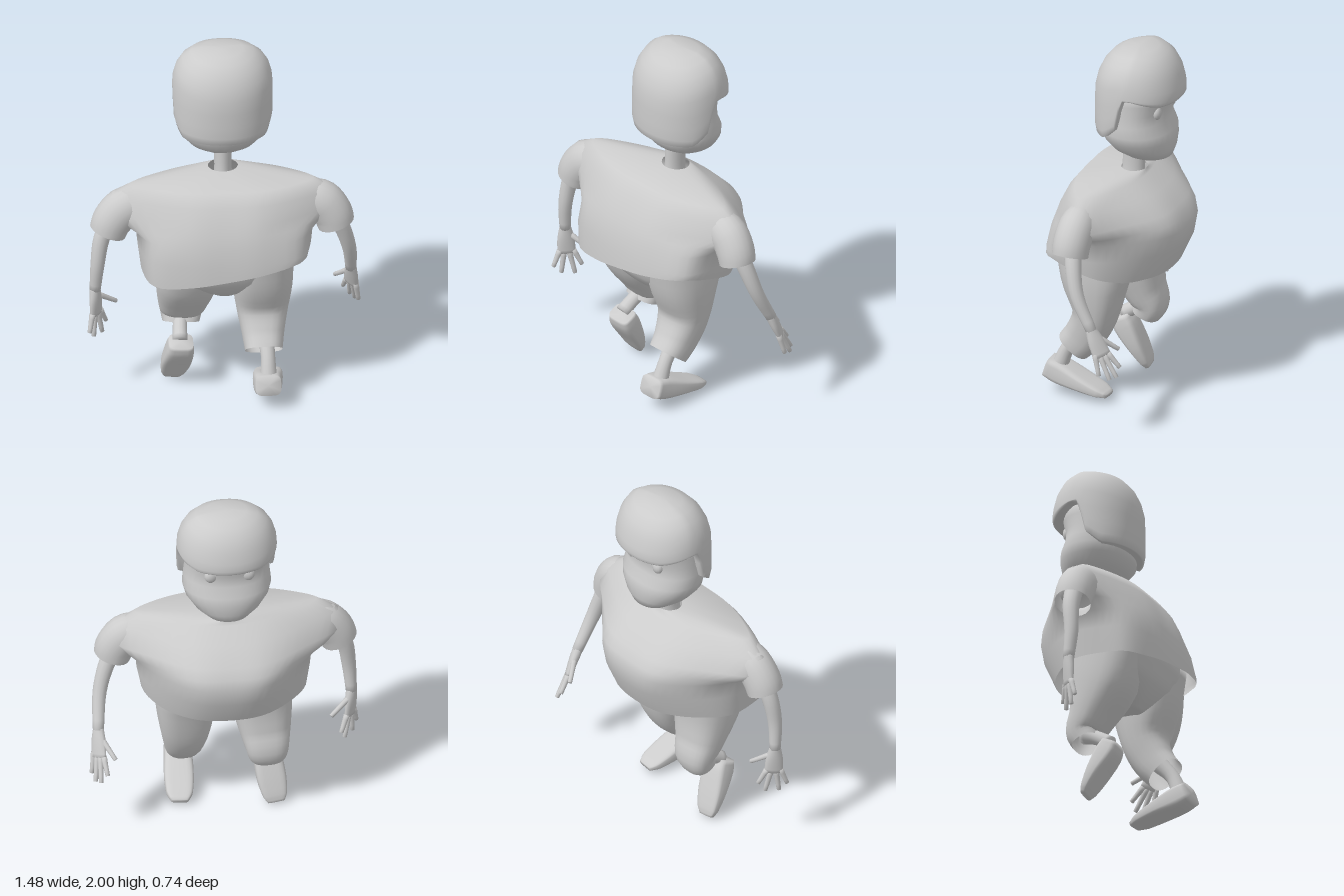
import * as THREE from 'three';

const V = (x, y, z) => new THREE.Vector3(x, y, z);
const { clamp, lerp } = THREE.MathUtils;
const material = new THREE.MeshStandardMaterial({ color: 0xcccccc, side: THREE.DoubleSide });

function mesh(name, geometry) {
  const m = new THREE.Mesh(geometry, material);
  m.name = name;
  return m;
}

// Skin a list of closed rings; optionally close the first and last one.
function loft(rings, capStart = false, capEnd = false) {
  const n = rings[0].length, pts = rings.flat(), index = [];
  for (let r = 0; r < rings.length - 1; r++) {
    for (let i = 0; i < n; i++) {
      const a = r * n + i, b = r * n + (i + 1) % n;
      index.push(a, b, b + n, a, b + n, a + n);
    }
  }
  const cap = (ring, start, flip) => {
    const c = ring.reduce((s, p) => s.add(p), V(0, 0, 0)).divideScalar(n);
    pts.push(c);
    for (let i = 0; i < n; i++) {
      const a = start + i, b = start + (i + 1) % n;
      index.push(pts.length - 1, flip ? b : a, flip ? a : b);
    }
  };
  if (capStart) cap(rings[0], 0, true);
  if (capEnd) cap(rings[rings.length - 1], (rings.length - 1) * n, false);
  const g = new THREE.BufferGeometry().setFromPoints(pts);
  g.setIndex(index);
  g.computeVertexNormals();
  return g;
}

// Superellipse ring about c, spanned by u and v (p = 2 is an ellipse).
function ring(c, u, v, n = 16, p = 2) {
  const f = k => Math.sign(k) * Math.abs(k) ** (2 / p);
  return Array.from({ length: n }, (_, i) => {
    const t = i / n * Math.PI * 2;
    return c.clone().addScaledVector(u, f(Math.cos(t))).addScaledVector(v, f(Math.sin(t)));
  });
}

// Tapering limb; each row is [x, y, z, half width along ref, half depth].
function limb(rows, { n = 14, p = 2, steps = 4, caps = [true, true], ref = V(1, 0, 0) } = {}) {
  const path = new THREE.CatmullRomCurve3(rows.map(r => V(r[0], r[1], r[2])));
  const size = new THREE.CatmullRomCurve3(rows.map(r => V(r[3], r[4] ?? r[3], 0)));
  const count = (rows.length - 1) * steps, rings = [];
  for (let i = 0; i <= count; i++) {
    const c = path.getPoint(i / count), t = path.getTangent(i / count), s = size.getPoint(i / count);
    const u = ref.clone().addScaledVector(t, -t.dot(ref)).normalize();
    const v = t.clone().cross(u);
    rings.push(ring(c, u.multiplyScalar(s.x), v.multiplyScalar(s.y), n, p));
  }
  return loft(rings, ...caps);
}

// Head: horizontal rows of [y, centre z, half width, half depth], chin to crown.
function makeHead() {
  const g = new THREE.Group();
  g.name = 'head';
  const rows = [
    [1.368, -0.15, 0.07, 0.08], [1.385, -0.145, 0.12, 0.125], [1.43, -0.12, 0.18, 0.165],
    [1.49, -0.1, 0.225, 0.19], [1.54, -0.095, 0.238, 0.188], [1.6, -0.085, 0.232, 0.17],
    [1.66, -0.08, 0.225, 0.172], [1.72, -0.08, 0.225, 0.19], [1.8, -0.09, 0.22, 0.195]
  ];
  g.add(mesh('face', loft(rows.map(([y, z, rx, rz]) =>
    ring(V(0, y, z), V(rx, 0, 0), V(0, 0, -rz), 32, 2.15)), true, true)));

  // Bowl of hair: low at the back and sides, cut high over the face.
  const n = 64, dome = [[0.12, 2.003], [0.4, 2], [0.62, 1.985], [0.8, 1.95], [0.92, 1.9], [0.985, 1.84]];
  const hem = z => {
    const k = clamp((z + 0.085) / 0.035, 0, 1), low = clamp((z + 0.055) / 0.09, 0, 1);
    return lerp(1.77 - 0.04 * clamp((-z - 0.14) / 0.14, 0, 1), 1.6 - 0.075 * low, k);
  };
  const plan = s => ring(V(0, 0, -0.095), V(0.268 * s, 0, 0), V(0, 0, 0.237 * s), n, 2.1);
  const rings = dome.map(([s, y]) => plan(s).map(q => q.setY(y - Math.abs(q.z + 0.12) * 0.22 * s)));
  for (const k of [0.3, 0.6, 0.85]) {
    rings.push(plan(1).map(q => q.setY(lerp(1.79, hem(q.z), k))));
  }
  for (const s of [0.97, 0.92, 0.7]) {
    rings.push(plan(s).map((q, i) => q.setY(hem(plan(1)[i].z))));
  }
  g.add(mesh('hair', loft(rings, true)));

  for (const s of [1, -1]) {
    const eye = mesh('eye', new THREE.SphereGeometry(1, 16, 12));
    eye.scale.set(0.042, 0.045, 0.03);
    eye.rotation.y = s * 0.35;
    eye.position.set(s * 0.095, 1.665, -0.222);
    g.add(eye);
  }
  return g;
}

// Shirt: half outlines [x, z] from chest round to back, collar down to hem.
function makeShirt() {
  const g = new THREE.Group();
  g.name = 'shirt';
  const hem = (x, z) => 0.755 + clamp((z + 0.15) / 0.4, 0, 1) * (0.052 + 0.16 * clamp(x, -0.33, 0.36));
  const outlines = [
    [1.29, [[0, -0.13], [0.055, -0.11], [0.08, -0.06], [0.055, -0.01], [0, 0.01]]],
    [1.265, [[0, -0.14], [0.16, -0.12], [0.32, -0.06], [0.46, 0.03], [0.475, 0.065], [0.38, 0.13], [0.2, 0.19], [0, 0.2]]],
    [1.2, [[0, -0.235], [0.19, -0.21], [0.42, -0.08], [0.575, 0.025], [0.585, 0.065], [0.48, 0.135], [0.2, 0.24], [0, 0.25]]],
    [1.11, [[0, -0.318], [0.19, -0.3], [0.41, -0.155], [0.59, -0.01], [0.6, 0.07], [0.46, 0.17], [0.2, 0.285], [0, 0.295]]],
    [1.055, [[0, -0.352], [0.19, -0.335], [0.37, -0.2], [0.53, -0.03], [0.53, 0.09], [0.42, 0.215], [0.2, 0.305], [0, 0.315]]],
    [1, [[0, -0.37], [0.18, -0.35], [0.35, -0.21], [0.465, -0.03], [0.465, 0.12], [0.4, 0.25], [0.2, 0.325], [0, 0.335]]],
    [0.9, [[0, -0.36], [0.17, -0.335], [0.34, -0.205], [0.455, -0.03], [0.455, 0.13], [0.4, 0.275], [0.2, 0.345], [0, 0.355]]],
    [0, [[0, -0.295], [0.17, -0.27], [0.32, -0.17], [0.435, -0.02], [0.44, 0.13], [0.39, 0.28], [0.2, 0.35], [0, 0.362]]]
  ];
  const rings = outlines.map(([y, half]) => {
    const reach = y > 1.05 ? 0.03 : 0;
    const right = half.map(([x, z]) => V(x, y, z));
    const left = half.slice(1, -1).reverse().map(([x, z]) => V(-x - reach * clamp((x - 0.3) / 0.2, 0, 1), y, z));
    const pts = new THREE.CatmullRomCurve3([...right, ...left], true).getPoints(56).slice(0, -1);
    return pts.map(q => (y ? q : q.setY(hem(q.x, q.z))));
  });
  g.add(mesh('shirtBody', loft(rings)));
  for (const s of [1, -1]) {
    const out = s < 0 ? 0.03 : 0;
    g.add(mesh('sleeve', limb([
      [s * 0.42, 1.16, 0.055, 0.09, 0.08], [s * (0.52 + out / 2), 1.12, 0.06, 0.112, 0.1],
      [s * (0.575 + out * 0.8), 1.05, 0.067, 0.108, 0.1], [s * (0.595 + out), 0.985, 0.07, 0.1, 0.097]
    ], { n: 20, caps: [true, false] })));
  }
  return g;
}

// Arm with a broad flat palm, a thumb and four spread fingers.
function makeArm(name, path, palmEnd, tips) {
  const g = new THREE.Group();
  g.name = name;
  const radii = [0.05, 0.045, 0.038, 0.03];
  g.add(mesh('arm', limb(path.map((q, i) => [...q, radii[i]]))));
  const wrist = V(...path[path.length - 1]), end = V(...palmEnd);
  const ref = V(...tips[1]).sub(V(...tips[4])).setY(0).normalize();
  const along = k => wrist.clone().lerp(end, k);
  g.add(mesh('palm', limb([
    [...along(-0.15).toArray(), 0.027, 0.028], [...along(0.45).toArray(), 0.046, 0.025],
    [...along(1).toArray(), 0.05, 0.017]
  ], { ref })));
  tips.forEach((tip, i) => {
    const root = i ? along(0.9).addScaledVector(ref, (2.5 - i) * 0.024) : along(0.25).addScaledVector(ref, 0.02);
    const knuckle = root.clone().lerp(V(...tip), 0.5);
    g.add(mesh(i ? 'finger' : 'thumb', limb([
      [...root.toArray(), 0.017], [...knuckle.toArray(), 0.014], [...tip, 0.012]
    ], { n: 8, steps: 2 })));
  });
  return g;
}

function makeLeg(name, trouser, shin, shoe) {
  const g = new THREE.Group();
  g.name = name;
  g.add(mesh('trouserLeg', limb(trouser, { n: 24, p: 2.5, caps: [true, false] })));
  g.add(mesh('shin', limb(shin)));
  g.add(mesh('shoe', limb(shoe, { n: 24, p: 4, steps: 3 })));
  return g;
}

export function createModel() {
  const model = new THREE.Group();
  model.name = 'walkingFigure';
  model.add(makeHead(), makeShirt());

  // Neck
  model.add(mesh('neck', limb([
    [0, 1.2, -0.05, 0.055, 0.07], [0, 1.3, -0.055, 0.046, 0.062], [0, 1.43, -0.06, 0.05, 0.066]
  ], { n: 20 })));

  // One arm swings forward, the other hangs back
  model.add(makeArm('leftArm',
    [[0.56, 1.08, 0.06], [0.625, 0.95, 0.04], [0.67, 0.79, 0], [0.687, 0.61, -0.09]],
    [0.692, 0.475, -0.155],
    [[0.61, 0.495, -0.215], [0.655, 0.41, -0.24], [0.69, 0.365, -0.235], [0.715, 0.355, -0.205], [0.73, 0.375, -0.15]]));
  model.add(makeArm('rightArm',
    [[-0.59, 1.08, 0.06], [-0.655, 0.95, 0.075], [-0.68, 0.79, 0.09], [-0.692, 0.63, 0.08]],
    [-0.685, 0.475, 0.075],
    [[-0.575, 0.515, 0.01], [-0.63, 0.4, 0.015], [-0.652, 0.35, 0.045], [-0.7, 0.355, 0.1], [-0.725, 0.395, 0.135]]));

  // Seat of the trousers
  model.add(mesh('trouserSeat', limb([
    [0, 0.9, 0.08, 0.36, 0.235], [0, 0.84, 0.08, 0.365, 0.23], [0, 0.74, 0.08, 0.31, 0.19],
    [0, 0.66, 0.075, 0.18, 0.13], [0, 0.6, 0.07, 0.06, 0.07]
  ], { n: 32, p: 2.6 })));

  // Planted leg trailing, bent leg with the toe pointing down
  model.add(makeLeg('leftLeg',
    [[0.195, 0.9, 0.08, 0.17, 0.225], [0.2, 0.7, 0.08, 0.165, 0.185], [0.2, 0.5, 0.08, 0.14, 0.12],
      [0.2, 0.37, 0.135, 0.115, 0.11], [0.2, 0.29, 0.2, 0.1, 0.1]],
    [[0.21, 0.37, 0.15, 0.05], [0.22, 0.27, 0.235, 0.038], [0.22, 0.16, 0.28, 0.045]],
    [[0.215, 0.152, 0.348, 0.068, 0.055], [0.215, 0.13, 0.28, 0.075, 0.062], [0.225, 0.092, 0.15, 0.08, 0.043],
      [0.235, 0.06, 0.04, 0.07, 0.026], [0.24, 0.045, -0.01, 0.045, 0.013]]));
  model.add(makeLeg('rightLeg',
    [[-0.195, 0.9, 0.07, 0.17, 0.22], [-0.2, 0.68, 0.035, 0.168, 0.175], [-0.215, 0.5, -0.03, 0.138, 0.11],
      [-0.222, 0.405, -0.07, 0.115, 0.085], [-0.225, 0.345, -0.045, 0.1, 0.078]],
    [[-0.225, 0.4, -0.06, 0.05], [-0.235, 0.36, 0.02, 0.038], [-0.24, 0.31, 0.1, 0.04]],
    [[-0.235, 0.305, 0.11, 0.065, 0.05], [-0.24, 0.25, 0.085, 0.075, 0.06], [-0.255, 0.14, 0.025, 0.08, 0.043],
      [-0.27, 0.05, -0.02, 0.065, 0.026], [-0.275, 0.015, -0.035, 0.045, 0.014]]));

  return model;
}
